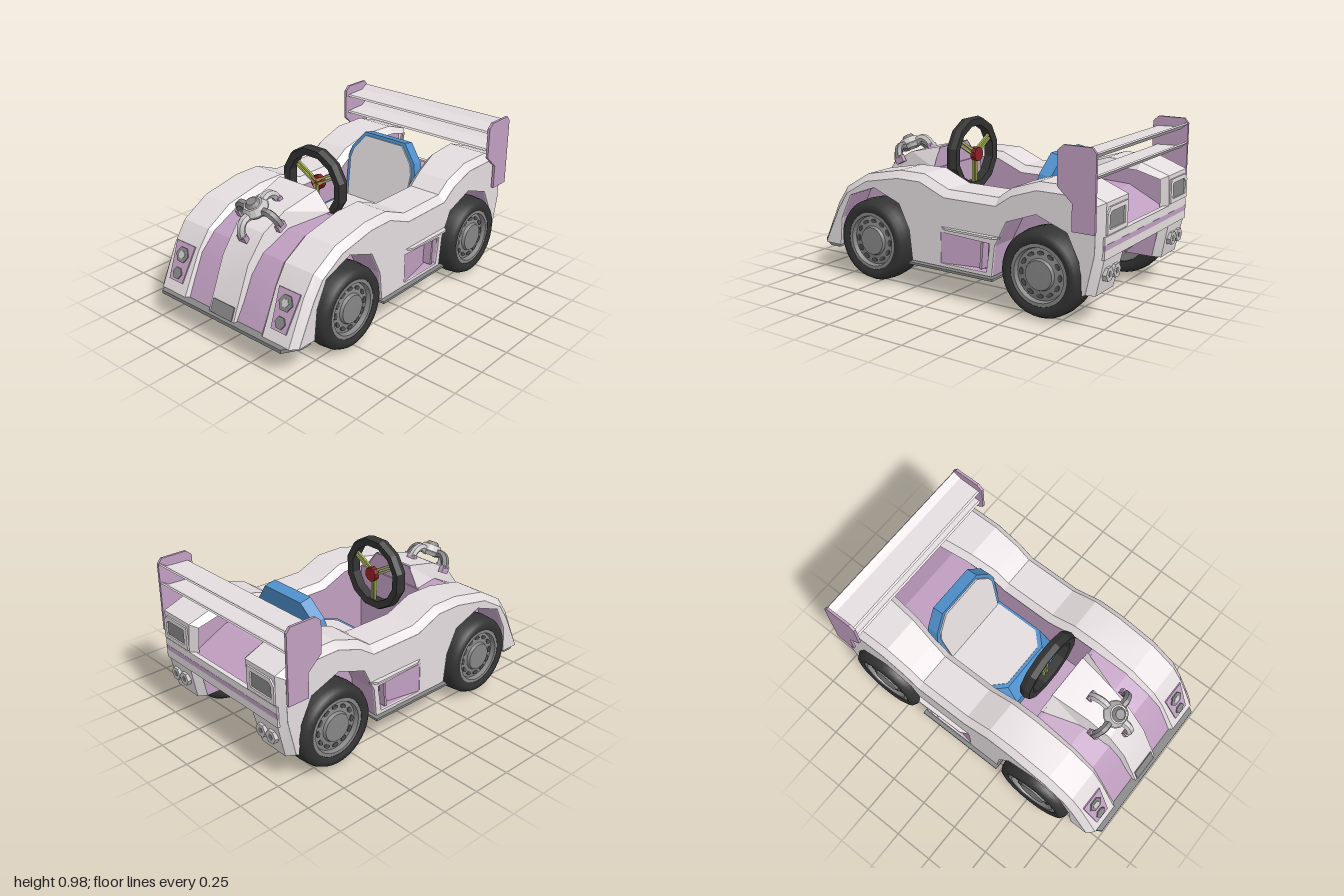
import * as THREE from 'three';
import { toCreasedNormals } from 'three/addons/utils/BufferGeometryUtils.js';

const mat = (name, color) => new THREE.MeshStandardMaterial({ name, color, side: THREE.DoubleSide });
const V = (x, y) => new THREE.Vector2(x, y);
const shapeOf = pts => new THREE.Shape(pts.map(p => V(...p)));

export function createModel() {
  const root = new THREE.Group();
  root.name = 'kart';
  const white = mat('white', 0xe4dddf), purple = mat('purple', 0xc09fc1), dark = mat('dark grey', 0x555555);
  const black = mat('tyre black', 0x333333), grey = mat('grey', 0x868686), blue = mat('blue', 0x4f90cc);
  const silver = mat('silver', 0xcbc7c9), green = mat('yellow green', 0xb0bc5e), red = mat('red', 0x8c2026);

  const add = (name, geo, m, crease = 0.3) => {
    const mesh = new THREE.Mesh(toCreasedNormals(geo, crease), m);
    mesh.name = name;
    root.add(mesh);
  };
  // Adds a part on the left (+x) and its mirror image on the right
  const both = (name, geo, m, crease) => {
    add(name + 'Left', geo, m, crease);
    const g = geo.index ? geo.toNonIndexed() : geo.clone();
    g.scale(-1, 1, 1);
    for (const a of Object.values(g.attributes))
      for (let i = 0; i < a.count; i += 3)
        for (let k = 0; k < a.itemSize; k++) {
          const t = a.getComponent(i + 1, k);
          a.setComponent(i + 1, k, a.getComponent(i + 2, k));
          a.setComponent(i + 2, k, t);
        }
    add(name + 'Right', g, m, crease);
  };
  // Surface through rows of [x, y, z] points
  const loft = rows => {
    const n = rows[0].length, idx = [];
    for (let i = 0; i < rows.length - 1; i++)
      for (let j = 0; j < n - 1; j++) {
        const a = i * n + j;
        idx.push(a, a + n, a + 1, a + 1, a + n, a + n + 1);
      }
    const g = new THREE.BufferGeometry();
    g.setAttribute('position', new THREE.Float32BufferAttribute(rows.flat(2), 3));
    g.setIndex(idx);
    return g;
  };
  const extrude = (shape, depth) => new THREE.ExtrudeGeometry(shape, { depth, bevelEnabled: false });
  // Panel drawn in [z, y], occupying x - depth .. x
  const sidePanel = (pts, x, depth, hole) => {
    const s = shapeOf(pts);
    if (hole) s.holes.push(new THREE.Path(hole.map(p => V(...p))));
    return extrude(s, depth).rotateY(-Math.PI / 2).translate(x, 0, 0);
  };
  // Plate drawn in [x, z], occupying y - depth .. y
  const plate = (pts, y, depth) => extrude(shapeOf(pts), depth).rotateX(Math.PI / 2).translate(0, y, 0);
  const box = (w, h, d, x, y, z) => new THREE.BoxGeometry(w, h, d).translate(x, y, z);

  // Fenders: top outline as [z, y, inner x], swept with chamfered edges
  const top = [[.97, .18, .275], [.85, .435, .27], [.77, .55, .265], [.6, .65, .265], [.35, .7, .265], [.17, .7, .265],
    [0, .63, .265], [-.34, .63, .265], [-.43, .695, .26], [-.6, .752, .235], [-.83, .752, .21], [-1, .69, .22],
    [-1, .41, .25], [-.95, .18, .27]];
  const inset = top.map(([z, y], i) => {
    const a = top[Math.max(i - 1, 0)], b = top[Math.min(i + 1, top.length - 1)];
    const t = V(b[0] - a[0], b[1] - a[1]).normalize();
    return [z - .042 * t.y, Math.max(.18, y + .042 * t.x)];
  });
  both('fenderTop', loft(top.map(([z, y, x], i) => {
    const [iz, iy] = inset[i];
    return [[x, iy, iz], [x + .04, y, z], [.51, y, z], [.55, iy, iz]];
  })), white);
  const arch = c => [[.285, .18], [.265, .36], [.19, .51], [0, .58], [-.19, .51], [-.265, .36], [-.285, .18]]
    .map(([z, y]) => [c + z, y]);
  const arches = [arch(.525), arch(-.605)];
  const outline = [...inset, ...[...arches[1]].reverse(), ...[...arches[0]].reverse()];
  const scoop = [[.03, .2], [.03, .385], [-.31, .37], [-.285, .2]];
  both('fenderSide', sidePanel(outline, .551, .012, scoop), white);
  both('innerSide', sidePanel(inset, .272, .004), purple);
  for (const a of arches) {
    both('wheelArch', loft(a.map(([z, y]) => [[.54, y, z], [.36, y, z]])), purple);
    both('wheelWell', sidePanel(a, .364, .006), purple);
  }

  // Side scoops: recess deepening to the rear, a ledge above it
  both('scoopRecess', loft([[.03, .548, .2, .385], [-.27, .485, .2, .372], [-.295, .545, .2, .371]]
    .map(([z, x, b, t]) => [[.545, t, z], [x, t, z], [x, b, z], [.545, b, z]])), purple);
  both('scoopVane', sidePanel([[-.235, .21], [-.245, .365], [-.26, .365], [-.25, .21]], .545, .06), purple);
  both('scoopLedge', plate([[.54, .05], [.575, -.02], [.58, -.34], [.54, -.37]], .418, .012), white);

  // Underbody
  add('frontSplitter', plate([[-.54, .83], [-.54, .9], [-.48, 1], [.48, 1], [.54, .9], [.54, .83]], .182, .022), grey);
  add('floorPlate', box(1.15, .014, .59, 0, .169, -.045), grey);
  add('underTray', box(.72, .02, 1.66, 0, .185, .1), purple);
  add('rearDiffuser', loft([[[-.36, .178, -.72], [.36, .178, -.72]], [[-.36, .39, -.97], [.36, .39, -.97]]]), purple);

  // Hood and raised cowl
  add('hood', loft([[.95, .18, .31], [.835, .43, .3], [.75, .535, .29], [.58, .625, .28], [.34, .66, .28]]
    .map(([z, y, w]) => [[-w, y, z], [w, y, z]])), purple);
  add('cowl', loft([[.34, .145, .785, .23, .665], [.58, .12, .725, .15, .62], [.73, .105, .64, .13, .545],
    [.85, .1, .49, .115, .42], [.978, .1, .18, .105, .18]]
    .map(([z, t, yt, b, yb]) => [[-b, yb, z - .02], [-t, yt, z], [t, yt, z], [b, yb, z - .02]])), white);
  add('cowlIntake', box(.17, .08, .008, 0, 0, 0).rotateX(-.39).translate(0, .222, .963), grey);
  add('dashboard', box(.54, .46, .02, 0, .43, .335), purple);
  add('cowlBack', extrude(shapeOf([[-.23, .655], [.23, .655], [.143, .78], [-.143, .78]]), .006).translate(0, 0, .335), purple);

  // Headlights lying on the sloping fender noses
  const onNose = (g, y) => g.rotateX(-.44).translate(.415, y, .97 - .12 * (y - .18) / .255);
  const hex = (r, h) => new THREE.CylinderGeometry(r, r, h, 6).rotateY(Math.PI / 6).rotateX(Math.PI / 2);
  both('headlightPanel', onNose(extrude(shapeOf([[-.055, -.115], [.055, -.115], [.078, .115], [-.078, .115]]), .008), .345), purple);
  both('headlight', onNose(hex(.05, .03), .385), grey);
  both('headlightLens', onNose(hex(.025, .036), .385), silver);
  both('lowerLamp', onNose(hex(.037, .03), .285), grey);

  // Rear deck, bars, lights and exhausts
  add('rearDeck', loft([[-.5, .62], [-.75, .61], [-.97, .5], [-.97, .38]]
    .map(([z, y]) => [[-.275, y, z], [.275, y, z]])), purple);
  add('rearUpperBar', box(1.04, .045, .03, 0, .487, -.986), white);
  add('rearStripe', box(1.04, .03, .012, 0, .45, -.996), purple);
  add('rearLowerBar', box(1.04, .05, .03, 0, .41, -.986), white);
  const frame = shapeOf([[.28, .52], [.51, .52], [.51, .63], [.48, .665], [.28, .665]]);
  frame.holes.push(new THREE.Path([[.31, .545], [.485, .545], [.485, .62], [.465, .64], [.31, .64]].map(p => V(...p))));
  both('rearLightFrame', extrude(frame, .03).translate(0, 0, -1.01), white);
  both('rearLight', box(.18, .1, .004, .4, .592, -.999), grey);
  for (const x of [.365, .45]) {
    both('exhaust', hex(.042, .07).translate(x, .295, -.965), silver);
    both('exhaustBore', hex(.018, .004).translate(x, .295, -1), grey);
  }

  // Rear wing
  both('wingEndPlate', sidePanel([[-.75, .95], [-.785, .98], [-.95, .98], [-.975, .95], [-.975, .53], [-.84, .53],
    [-.84, .68], [-.75, .76]], .585, .016), purple);
  for (const y of [.91, .795])
    add('wingBlade', sidePanel([[-.77, y], [-.78, y + .01], [-.92, y + .015], [-.965, y + .043], [-.972, y + .036],
      [-.925, y]], .572, 1.144), white);

  // Seat: leaning back and a bucket with sloping rim
  const bucket = k => [[-.25, 0], [.25, 0], [.27, .28], [.25, .35], [.16, .46], [-.16, .46], [-.25, .35], [-.27, .28]]
    .map(([x, y]) => [x * k, (y - .23) * k + .23]);
  const lean = g => g.rotateX(-.2).translate(0, .38, -.405);
  add('seatBack', lean(extrude(shapeOf(bucket(.99)), .075).translate(0, 0, -.04)), blue);
  add('seatBackPad', lean(extrude(shapeOf(bucket(.9)), .02).translate(0, 0, .025)), white);
  const base = (w, front) => [[-w, -.45], [w, -.45], [w, front - .08], [w - .08, front], [.08 - w, front], [-w, front - .08]];
  const ring = (w, front, y) => [...base(w, front), [-w, -.45]].map(([x, z]) => [x, y, z]);
  add('seatBase', loft([ring(.265, .11, .2), ring(.265, .11, .3), ring(.25, .03, .41), ring(.22, 0, .41)]), blue);
  add('seatCushion', plate(base(.232, .01), .415, .05), white);

  // Steering wheel
  const rim = new THREE.LatheGeometry([[.18, -.03], [.225, -.035], [.235, 0], [.225, .035], [.18, .03], [.18, -.03]]
    .map(p => V(...p)), 12).rotateY(Math.PI / 12).rotateX(Math.PI / 2).translate(0, .735, .195);
  add('steeringWheelRim', rim, black);
  for (const a of [Math.PI / 6, Math.PI * 5 / 6, -Math.PI / 2])
    for (const off of [-.012, .012])
      add('steeringSpoke', box(.18, .014, .014, .1, off, 0).rotateZ(a).translate(0, .735, .18), green);
  add('steeringHub', new THREE.CylinderGeometry(.045, .045, .035, 10).rotateX(Math.PI / 2).translate(0, .735, .165), red);

  // Hood ornament: capped hub on four bent legs
  const tilt = g => g.rotateX(.48).translate(0, .715, .67);
  add('ornamentHub', tilt(new THREE.CylinderGeometry(.055, .08, .045, 14).translate(0, .05, 0)), silver);
  add('ornamentBand', tilt(new THREE.CylinderGeometry(.083, .06, .03, 14).translate(0, .018, 0)), silver);
  add('ornamentCap', tilt(new THREE.CylinderGeometry(.03, .045, .02, 14).translate(0, .082, 0)), grey);
  for (let i = 0; i < 4; i++) {
    const leg = new THREE.CatmullRomCurve3([[.04, .02], [.1, .035], [.14, .005], [.155, -.045]]
      .map(([x, y]) => new THREE.Vector3(x, y, 0)));
    const turn = g => tilt(g.rotateY(i * Math.PI / 2));
    add('ornamentLeg', turn(new THREE.TubeGeometry(leg, 8, .025, 6)), i % 2 ? silver : grey);
    add('ornamentFoot', turn(box(.03, .045, .06, .155, -.05, 0)), purple);
  }

  // Wheels
  for (const z of [.53, -.64]) {
    const put = g => g.rotateZ(-Math.PI / 2).translate(.48, .255, z);
    const lathe = (pts, n) => new THREE.LatheGeometry(pts.map(p => V(...p)), n);
    both('tyre', put(lathe([[.17, -.1], [.2, -.11], [.23, -.1], [.246, -.07], [.252, 0], [.246, .07], [.23, .1], [.2, .11],
      [.175, .1], [.17, .06]], 36)), black, .9);
    both('wheelRim', put(lathe([[0, -.07], [.17, -.09], [.176, .098], [.155, .098], [.148, .07], [.09, .08], [.083, .098],
      [0, .1]], 32)), grey, .5);
    for (let i = 0; i < 12; i++)
      both('rimHole', put(new THREE.CylinderGeometry(.012, .012, .008, 10).scale(1, 1, 1.7).translate(.12, .077, 0)
        .rotateY(i * Math.PI / 6)), dark);
  }
  return root;
}
